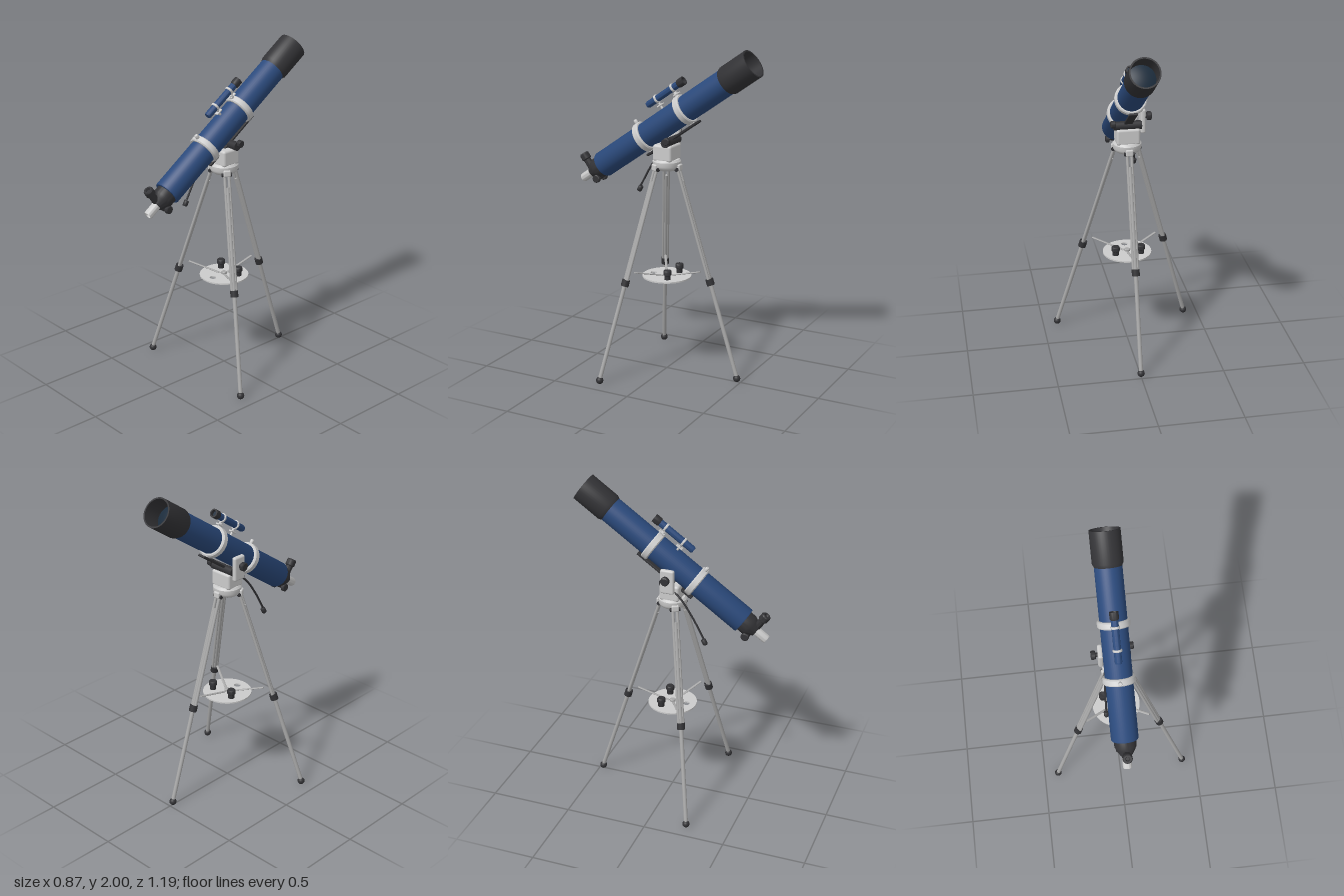
import * as THREE from 'three';
import { toCreasedNormals } from 'three/addons/utils/BufferGeometryUtils.js';
import { RoundedBoxGeometry } from 'three/addons/geometries/RoundedBoxGeometry.js';

const mat = (color) => new THREE.MeshStandardMaterial({ color, side: THREE.DoubleSide });
const grey = mat(0xcccccc), blue = mat(0x2b4a7c), black = mat(0x333336);
const steel = mat(0xa8a8a8), glass = mat(0x1c2c3c);
const V = (x, y, z) => new THREE.Vector3(x, y, z);

function add(parent, name, geometry, material, x = 0, y = 0, z = 0) {
  const mesh = new THREE.Mesh(geometry, material);
  mesh.name = name;
  mesh.position.set(x, y, z);
  parent.add(mesh);
  return mesh;
}

// Turned shape from [radius, height] pairs, standing on y
function turned(profile, segments = 40) {
  const points = profile.map(([r, h]) => new THREE.Vector2(r, h));
  return toCreasedNormals(new THREE.LatheGeometry(points, segments), 0.6);
}
const alongZ = (profile, segments) => turned(profile, segments).rotateX(Math.PI / 2);

// Round bar between two points
function rod(parent, name, a, b, radius, material) {
  const mesh = add(parent, name, new THREE.CylinderGeometry(radius, radius, a.distanceTo(b), 16), material);
  mesh.position.copy(a).lerp(b, 0.5);
  mesh.quaternion.setFromUnitVectors(V(0, 1, 0), b.clone().sub(a).normalize());
  return mesh;
}

// Knob centred on its origin, with a chamfered rim
const knob = (r, h) => turned([[0, -h / 2], [r * 0.8, -h / 2], [r, -h * 0.35], [r, h * 0.35], [r * 0.8, h / 2], [0, h / 2]], 20);

// Band with rounded edges around the z axis
function band(inner, outer, width) {
  const w = width / 2, c = (outer - inner) * 0.4;
  return alongZ([[inner, -w], [outer - c, -w], [outer, -w + c], [outer, w - c], [outer - c, w], [inner, w], [inner, -w]]);
}

function buildFinder() {
  const finder = new THREE.Group();
  finder.name = 'finderScope';
  finder.position.y = 0.145;
  add(finder, 'finderTube', alongZ([[0, -0.21], [0.021, -0.21], [0.021, 0.045], [0.017, 0.055], [0, 0.055]], 24), blue);
  add(finder, 'finderHood', alongZ([[0.018, -0.215], [0.018, -0.237], [0.026, -0.237], [0.026, -0.2], [0.02, -0.19]], 24), black);
  add(finder, 'finderLens', new THREE.CircleGeometry(0.019, 24).rotateY(Math.PI), glass, 0, 0, -0.216);
  for (const z of [-0.15, -0.02]) {
    add(finder, 'finderRing', band(0.02, 0.027, 0.014), grey, 0, 0, z);
    rod(finder, 'finderPost', V(0, -0.07, z), V(0, -0.024, z), 0.007, grey);
    add(finder, 'finderFoot', new RoundedBoxGeometry(0.024, 0.01, 0.045, 2, 0.004), grey, 0, -0.043, z);
  }
  return finder;
}

function buildFocuser() {
  const focuser = new THREE.Group();
  focuser.name = 'focuser';
  add(focuser, 'focuserHousing', alongZ([[0.064, 0.53], [0.064, 0.575], [0.055, 0.595], [0.034, 0.63], [0, 0.63]]), black);
  add(focuser, 'drawTube', alongZ([[0.027, 0.6], [0.027, 0.7], [0.024, 0.708], [0.02, 0.708], [0.02, 0.68], [0, 0.68]], 28), grey);
  add(focuser, 'eyepiece', turned([[0.022, 0], [0.022, 0.08], [0.029, 0.086], [0.029, 0.118], [0.024, 0.125], [0.014, 0.125], [0.01, 0.115], [0, 0.115]], 24), black, 0, 0, 0.615);
  add(focuser, 'focuserRackBox', new RoundedBoxGeometry(0.05, 0.05, 0.06, 2, 0.01), black, 0, -0.04, 0.59);
  for (const s of [-1, 1]) add(focuser, 'focusKnob', knob(0.024, 0.024).rotateZ(Math.PI / 2), black, s * 0.042, -0.054, 0.6);
  return focuser;
}

// Optical tube along local z, eyepiece at +z
function buildTelescope() {
  const scope = new THREE.Group();
  scope.name = 'telescope';
  scope.position.y = 1.547;
  scope.rotation.x = THREE.MathUtils.degToRad(35);
  add(scope, 'mainTube', alongZ([[0.079, -0.5], [0.079, 0.53], [0.076, 0.536], [0, 0.536]]), blue);
  add(scope, 'dewShield', alongZ([[0.079, -0.5], [0.079, -0.669], [0.088, -0.669], [0.088, -0.485], [0.079, -0.465]]), black);
  add(scope, 'objectiveLens', new THREE.SphereGeometry(0.2, 32, 8, 0, Math.PI * 2, 0, 0.405).rotateX(-Math.PI / 2), glass, 0, 0, -0.37);
  for (const z of [-0.144, 0.181]) {
    add(scope, 'tubeRing', band(0.078, 0.094, 0.042), grey, 0, 0, z);
    add(scope, 'ringClampScrew', knob(0.011, 0.03), grey, 0, 0.102, z);
    add(scope, 'ringFoot', new RoundedBoxGeometry(0.04, 0.02, 0.035, 2, 0.004), grey, 0, -0.092, z);
  }
  add(scope, 'dovetailBar', new RoundedBoxGeometry(0.05, 0.014, 0.41, 2, 0.004), black, 0, -0.102, 0.017);
  scope.add(buildFinder(), buildFocuser());
  return scope;
}

function buildMount() {
  const mount = new THREE.Group();
  mount.name = 'mount';
  add(mount, 'mountHub', turned([[0, 1.262], [0.06, 1.262], [0.078, 1.275], [0.085, 1.29], [0.085, 1.315], [0.075, 1.328], [0, 1.328]]), grey);
  add(mount, 'mountHead', new RoundedBoxGeometry(0.14, 0.1, 0.122, 3, 0.015), grey, 0, 1.368, 0);
  add(mount, 'sideArm', new RoundedBoxGeometry(0.03, 0.15, 0.085, 3, 0.012), grey, -0.09, 1.455, 0);
  rod(mount, 'tiltAxle', V(-0.08, 1.435, -0.03), V(0.085, 1.435, -0.03), 0.026, black);
  add(mount, 'tiltKnob', knob(0.022, 0.03).rotateZ(Math.PI / 2), black, 0.09, 1.45, -0.045);
  rod(mount, 'lockShaft', V(-0.1, 1.475, 0), V(-0.125, 1.475, 0), 0.012, black);
  add(mount, 'lockKnob', knob(0.026, 0.028).rotateZ(Math.PI / 2), black, -0.13, 1.475, 0);
  // Flexible slow-motion control
  const path = new THREE.CatmullRomCurve3([V(-0.065, 1.39, 0.03), V(-0.075, 1.34, 0.085), V(-0.08, 1.24, 0.155), V(-0.082, 1.12, 0.222)]);
  add(mount, 'controlCable', new THREE.TubeGeometry(path, 24, 0.006, 10), black);
  add(mount, 'cableHandle', knob(0.015, 0.036), black, -0.083, 1.1, 0.228).rotation.x = -0.5;
  return mount;
}

// One leg leaning out along local +x
function buildLeg(angle) {
  const leg = new THREE.Group();
  leg.name = 'tripodLeg';
  leg.rotation.y = angle;
  const at = (y, t = 0) => V(0.477 - 0.319 * (y - 0.02), y, t);
  for (const t of [-0.013, 0.013]) rod(leg, 'upperLegRail', at(0.6, t), at(1.28, t), 0.009, steel);
  rod(leg, 'lowerLeg', at(0.02), at(1.2), 0.0125, steel);
  rod(leg, 'legCollar', at(0.585), at(0.622), 0.024, black);
  rod(leg, 'legHinge', at(1.272, -0.03), at(1.272, 0.03), 0.012, black);
  add(leg, 'legClamp', new RoundedBoxGeometry(0.036, 0.04, 0.044, 2, 0.008), grey, 0.078, 1.282, 0);
  add(leg, 'foot', new THREE.SphereGeometry(0.022, 20, 12), black, 0.475, 0.022, 0);
  // Spreader arm
  const brace = rod(leg, 'spreaderArm', V(0.02, 0.604, 0), V(0.226, 0.656, 0), 0.008, steel);
  brace.scale.x = 0.5;
  return leg;
}

function buildTray() {
  const tray = new THREE.Group();
  tray.name = 'accessoryTray';
  const shape = new THREE.Shape().absarc(0, 0, 0.148, 0, Math.PI * 2);
  for (let i = 0; i < 3; i++) {
    const a = Math.PI / 2 + i * Math.PI * 2 / 3;
    shape.holes.push(new THREE.Path().absarc(0.09 * Math.cos(a), 0.09 * Math.sin(a), 0.02, 0, Math.PI * 2, true));
  }
  const plate = new THREE.ExtrudeGeometry(shape, { depth: 0.009, bevelEnabled: false, curveSegments: 40 });
  add(tray, 'trayPlate', plate.rotateX(Math.PI / 2), grey, 0, 0.605, 0);
  add(tray, 'trayCentre', knob(0.018, 0.022), steel, 0, 0.608, 0);
  // Spare eyepieces
  for (const s of [-1, 1]) {
    add(tray, 'spareEyepiece', turned([[0, 0], [0.019, 0], [0.019, 0.026], [0.025, 0.031], [0.025, 0.052], [0.021, 0.058], [0.012, 0.058], [0, 0.054]], 24), black, s * 0.078, 0.603, -0.045);
  }
  return tray;
}

export function createModel() {
  const model = new THREE.Group();
  model.name = 'telescopeOnTripod';
  model.add(buildTelescope(), buildMount(), buildTray());
  for (const angle of [-Math.PI / 6, -Math.PI * 5 / 6, Math.PI / 2]) model.add(buildLeg(angle));
  return model;
}
